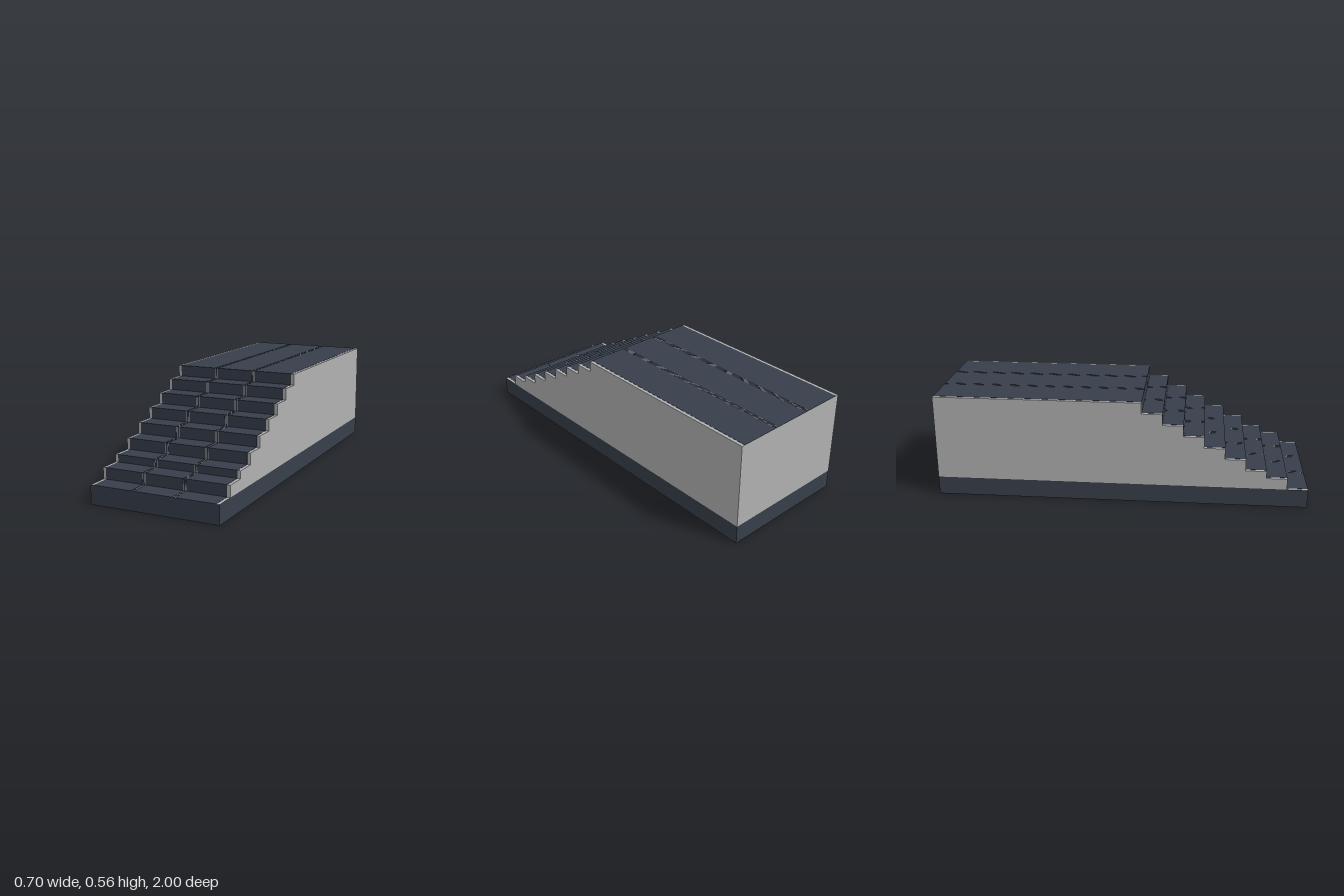
import * as THREE from 'three';

export function createModel() {
  const group = new THREE.Group();
  group.name = 'staircase';
  const slate = new THREE.MeshStandardMaterial({ color: 0x373f4b });
  slate.name = 'slate';
  const concrete = new THREE.MeshStandardMaterial({ color: 0xb1b1b1 });
  concrete.name = 'concrete';

  const HALF = 0.352, BASE = 0.1, T = 0.001;
  // Tread heights from the bottom step to the landing, and where each riser stands
  const heights = [0.1, 0.16, 0.2, 0.26, 0.32, 0.38, 0.44, 0.5, 0.56];
  const frontZ = (i) => 1 - i * 0.111;

  // Slate plinth, with a concrete top left bare between the tread panels
  const base = new THREE.Mesh(
    new THREE.BoxGeometry(HALF * 2, BASE, 2),
    [slate, slate, concrete, slate, slate, slate]
  );
  base.name = 'plinth';
  base.position.y = BASE / 2;
  group.add(base);

  // Concrete body: stepped side profile extruded across the width
  const profile = new THREE.Shape();
  profile.moveTo(1, BASE);
  profile.moveTo(frontZ(1), BASE);
  for (let i = 1; i < heights.length; i++) {
    profile.lineTo(frontZ(i), heights[i]);
    profile.lineTo(i < heights.length - 1 ? frontZ(i + 1) : -1, heights[i]);
  }
  profile.lineTo(-1, BASE);
  const bodyGeometry = new THREE.ExtrudeGeometry(profile, { depth: HALF * 2, bevelEnabled: false });
  bodyGeometry.rotateY(-Math.PI / 2); // profile x becomes z
  bodyGeometry.translate(HALF, 0, 0);
  const body = new THREE.Mesh(bodyGeometry, concrete);
  body.name = 'stepBody';
  group.add(body);

  // Panel spans across the width: three wide panels and narrow strips in the two joints
  const sideSpans = [[0.1225, 0.335], [0.1145, 0.1195], [0.1065, 0.1115]];
  const spans = [[-0.1035, 0.1035]];
  for (const [a, b] of sideSpans) spans.push([a, b], [-b, -a]);

  function addPanels(name, y0, y1, z0, z1) {
    for (const [x0, x1] of spans) {
      const panel = new THREE.Mesh(new THREE.BoxGeometry(x1 - x0, y1 - y0, z1 - z0), slate);
      panel.name = name;
      panel.position.set((x0 + x1) / 2, (y0 + y1) / 2, (z0 + z1) / 2);
      group.add(panel);
    }
  }

  // Thin slate facing on every tread and riser
  heights.forEach((h, i) => {
    const back = i < heights.length - 1 ? frontZ(i + 1) : -1;
    addPanels('treadPanel', h - T, h + T, back, frontZ(i));
    if (i > 0) addPanels('riserPanel', heights[i - 1], h + T, frontZ(i) - T, frontZ(i) + T);
  });

  return group;
}
